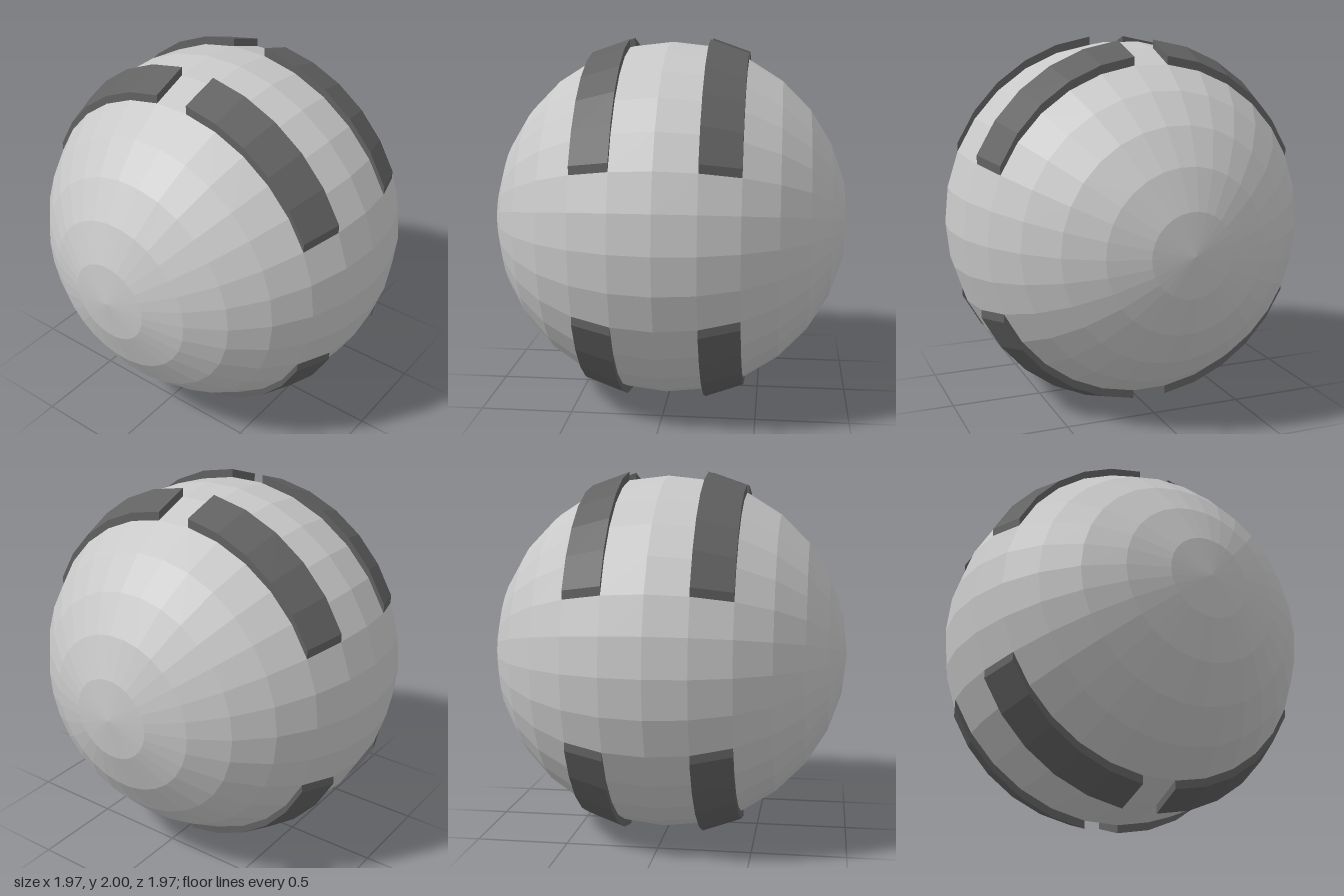
import * as THREE from 'three';

const RADIUS = 0.985;
const RINGS = 14; // bands from pole to pole along x
const SLICES = 30; // facets around the x axis
const LIFT = 0.045; // height of each raised strip

const shellGrey = new THREE.MeshStandardMaterial({ color: 0xc8c8c8, flatShading: true });
shellGrey.name = 'shellGrey';
const stripGrey = new THREE.MeshStandardMaterial({ color: 0x626262, flatShading: true });
stripGrey.name = 'stripGrey';

// Curved strip lying on one band of the ball, raised straight up (or down)
function stripGeometry(sx, sy, sz) {
  const geometry = new THREE.BoxGeometry(1, 1, 1, 1, 1, 5);
  const p = geometry.attributes.position;
  const step = (Math.PI * 2) / SLICES;
  for (let i = 0; i < p.count; i++) {
    const across = sx * p.getX(i) + 0.5;
    const raised = sy * p.getY(i) + 0.5;
    const along = sz * p.getZ(i) + 0.5;
    const latitude = (Math.PI / RINGS) * (1 + across);
    const elevation = step * (7 - 5 * along);
    const r = RADIUS * Math.cos(latitude);
    p.setXYZ(
      i,
      sx * RADIUS * Math.sin(latitude),
      sy * (r * Math.sin(elevation) + LIFT * raised),
      sz * r * Math.cos(elevation)
    );
  }
  const flat = geometry.toNonIndexed();
  flat.computeVertexNormals();
  return flat;
}

export function createModel() {
  const model = new THREE.Group();
  model.name = 'ball';

  // Faceted ball with its poles at left and right
  const ball = new THREE.SphereGeometry(RADIUS, SLICES, RINGS);
  ball.rotateY(Math.PI / 2);
  ball.rotateZ(Math.PI / 2);
  const shell = new THREE.Mesh(ball, shellGrey);
  shell.name = 'shell';
  shell.position.y = 1;
  model.add(shell);

  // Eight raised strips, mirrored on all three axes
  for (const sx of [1, -1]) {
    for (const sy of [1, -1]) {
      for (const sz of [1, -1]) {
        const strip = new THREE.Mesh(stripGeometry(sx, sy, sz), stripGrey);
        strip.name = [sy > 0 ? 'upper' : 'lower', sz > 0 ? 'Front' : 'Back', sx > 0 ? 'Left' : 'Right', 'Strip'].join('');
        strip.position.y = 1;
        model.add(strip);
      }
    }
  }
  return model;
}
